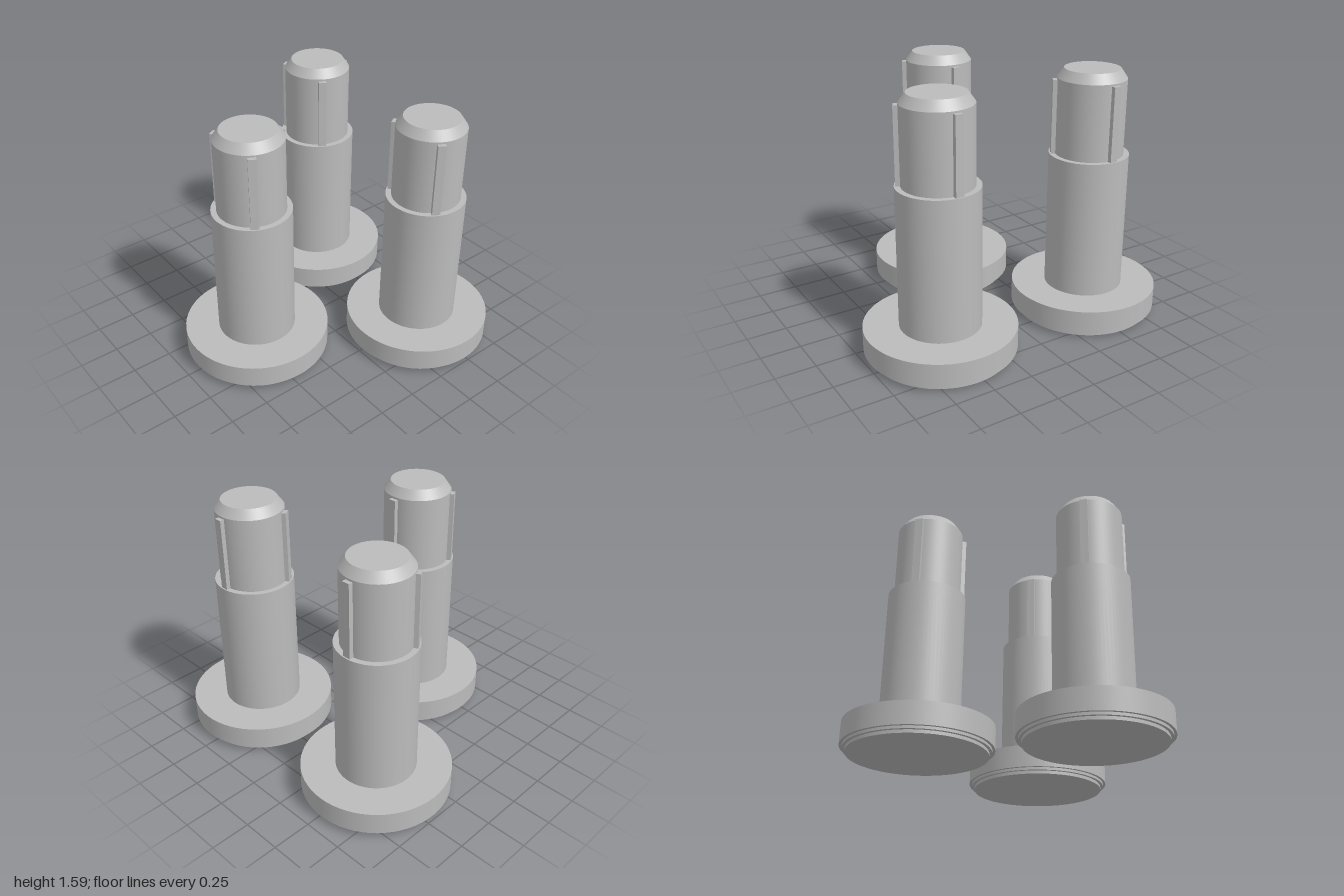
import * as THREE from 'three';
import { mergeGeometries } from 'three/addons/utils/BufferGeometryUtils.js';

const SIDES = 64;

// Turned part: each profile segment is its own lathe so the edges stay sharp
function turned(name, profile, material) {
  const points = profile.map(([r, y]) => new THREE.Vector2(r, y));
  const bands = points.slice(1).map((p, i) => new THREE.LatheGeometry([points[i], p], SIDES));
  const mesh = new THREE.Mesh(mergeGeometries(bands), material);
  mesh.name = name;
  return mesh;
}

function createPeg(material) {
  const peg = new THREE.Group();
  peg.name = 'peg';

  // Wide foot with a stepped underside
  peg.add(turned('footFlange', [
    [0, 0], [0.428, 0], [0.428, 0.02], [0.446, 0.02], [0.446, 0.037],
    [0.463, 0.037], [0.463, 0.18], [0.248, 0.18],
  ], material));

  // Thick shaft with a shoulder
  peg.add(turned('shaft', [[0.248, 0.18], [0.248, 1.055], [0.213, 1.055]], material));

  // Thinner pin with a chamfered tip
  peg.add(turned('pin', [[0.213, 1.055], [0.213, 1.53], [0.172, 1.588], [0, 1.588]], material));

  // Three grip ribs around the pin
  for (let i = 0; i < 3; i++) {
    const geometry = new THREE.BoxGeometry(0.04, 0.463, 0.05);
    geometry.translate(0.219, 1.2865, 0);
    const rib = new THREE.Mesh(geometry, material);
    rib.name = 'gripRib';
    rib.rotation.y = (i * Math.PI * 2) / 3;
    peg.add(rib);
  }
  return peg;
}

export function createModel() {
  const model = new THREE.Group();
  model.name = 'pegSet';
  const grey = new THREE.MeshStandardMaterial({ color: 0xbbbbbb });
  grey.name = 'plain grey';

  // Three identical pegs in a triangle
  for (const [x, z] of [[-0.463, 0], [0.463, -0.537], [0.463, 0.537]]) {
    const peg = createPeg(grey);
    peg.position.set(x, 0, z);
    model.add(peg);
  }
  return model;
}
